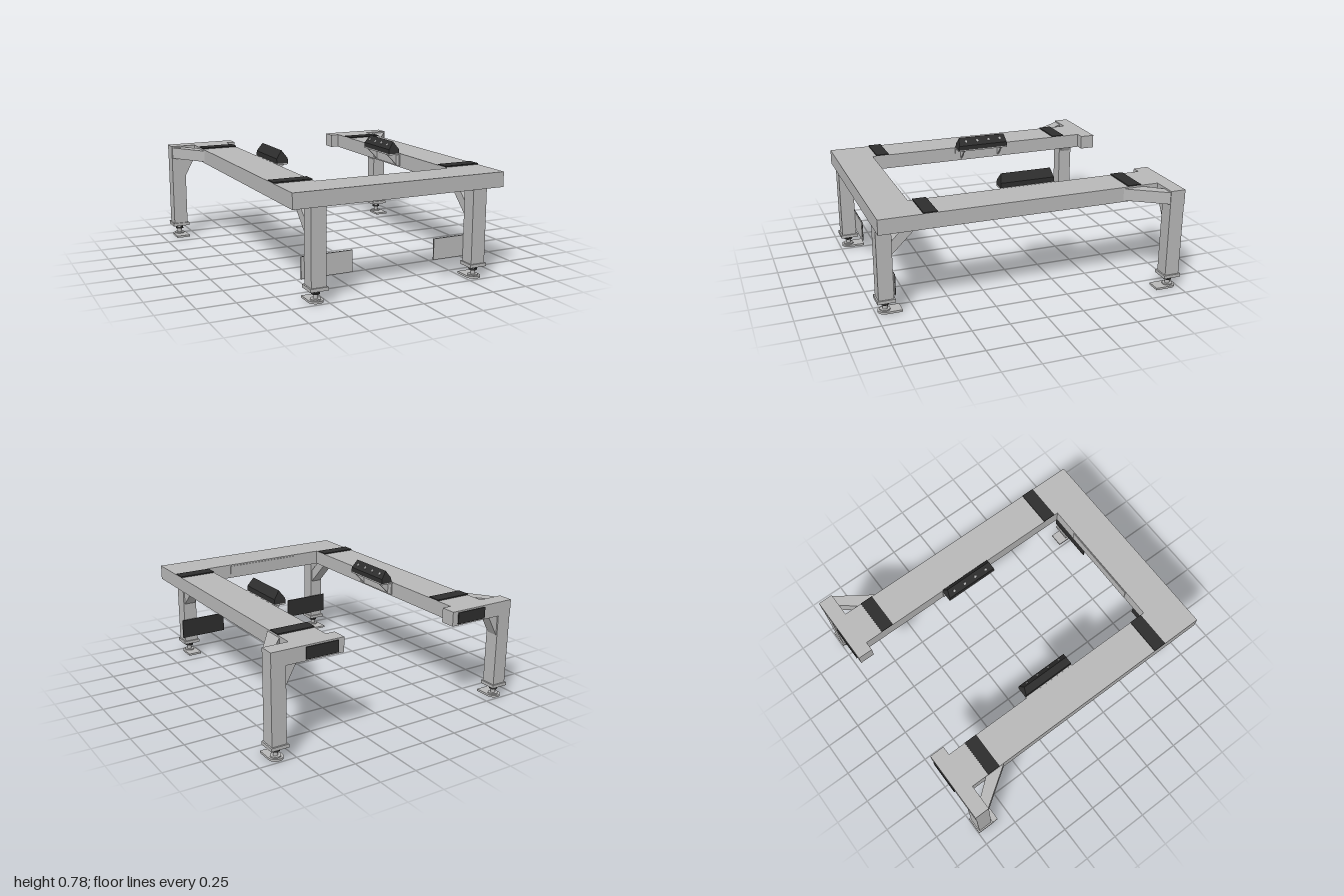
import * as THREE from 'three';

const steel = new THREE.MeshStandardMaterial({ color: 0xb8b8b8 });
steel.name = 'light grey steel';
const rubber = new THREE.MeshStandardMaterial({ color: 0x2e2e2e });
rubber.name = 'black rubber';

function add(parent, name, geometry, material = steel) {
  const mesh = new THREE.Mesh(geometry, material);
  mesh.name = name;
  parent.add(mesh);
  return mesh;
}

// Box given by its limits on each axis
function box(x0, x1, y0, y1, z0, z1) {
  return new THREE.BoxGeometry(Math.abs(x1 - x0), y1 - y0, z1 - z0)
    .translate((x0 + x1) / 2, (y0 + y1) / 2, (z0 + z1) / 2);
}

const toShape = (pts) => new THREE.Shape(pts.map(([a, b]) => new THREE.Vector2(a, b)));
const extrude = (shape, depth) =>
  new THREE.ExtrudeGeometry(shape, { depth, bevelEnabled: false, curveSegments: 12 });

// Outline in (x, z), extruded between two heights
const planPrism = (shape, y0, y1) => extrude(shape, y1 - y0).rotateX(Math.PI / 2).translate(0, y1, 0);
// Outline in (z, y), extruded between two x limits
const sidePrism = (pts, x0, x1) => extrude(toShape(pts), x1 - x0).rotateY(-Math.PI / 2).translate(x1, 0, 0);
// Outline in (x, y), extruded between two z limits
const frontPrism = (pts, z0, z1) => extrude(toShape(pts), z1 - z0).translate(0, 0, z0);

const cylinder = (r, y0, y1, sides = 20) =>
  new THREE.CylinderGeometry(r, r, y1 - y0, sides).translate(0, (y0 + y1) / 2, 0);

// Levelling foot; inward is the z direction of its anchor tongue
function levellingFoot(x, z, inward) {
  const foot = new THREE.Group();
  foot.name = 'levellingFoot';
  add(foot, 'legEndPlate', box(-0.06, 0.06, 0.08, 0.102, -0.06, 0.06));
  add(foot, 'footCollar', cylinder(0.025, 0.066, 0.08));
  add(foot, 'footScrew', cylinder(0.016, 0.02, 0.066));
  add(foot, 'lockNut', cylinder(0.028, 0.049, 0.061, 6), rubber);
  add(foot, 'footDisc', cylinder(0.034, 0.014, 0.022));
  const outline = new THREE.Shape();
  outline.moveTo(0.048, 0);
  outline.lineTo(0.048, -0.105);
  outline.lineTo(-0.048, -0.105);
  outline.lineTo(-0.048, 0);
  outline.absarc(0, 0, 0.048, Math.PI, 0, true);
  add(foot, 'footPlate', planPrism(outline, 0, 0.014));
  foot.position.set(x, 0, z);
  if (inward > 0) foot.rotation.y = Math.PI;
  return foot;
}

// Pointed guide rail whose ends lean in towards the ridge
function guideRail(s) {
  const geo = frontPrism([[-0.04, 0.696], [0.04, 0.696], [0.04, 0.728], [0, 0.782], [-0.04, 0.728]], -0.19, 0.19);
  const p = geo.attributes.position;
  for (let i = 0; i < p.count; i++) {
    if (p.getY(i) > 0.71) p.setZ(i, p.getZ(i) * (1 - (p.getY(i) - 0.71) * 1.2));
  }
  geo.computeVertexNormals();
  return geo.translate(s * 0.43, 0, -0.075);
}

export function createModel() {
  const model = new THREE.Group();
  model.name = 'supportFrame';

  // U-shaped top frame
  add(model, 'topFrame', planPrism(toShape([
    [-0.735, 0.995], [0.735, 0.995], [0.735, -0.89], [0.478, -0.89],
    [0.478, 0.738], [-0.478, 0.738], [-0.478, -0.89], [-0.735, -0.89],
  ]), 0.595, 0.695));
  add(model, 'innerFrontPlate', box(-0.285, 0.285, 0.605, 0.685, 0.733, 0.738));

  for (const s of [1, -1]) {
    const side = new THREE.Group();
    side.name = s > 0 ? 'leftSide' : 'rightSide';
    model.add(side);

    // Rear crossbar with its bumper
    add(side, 'rearCrossbar', box(s * 0.415, s * 0.91, 0.598, 0.695, -0.993, -0.89));
    add(side, 'rearBumper', box(s * 0.457, s * 0.68, 0.608, 0.685, -1, -0.993), rubber);

    // Legs and feet
    add(side, 'rearLeg', box(s * 0.81, s * 0.91, 0.1, 0.598, -0.99, -0.89));
    add(side, 'frontLeg', box(s * 0.515, s * 0.615, 0.1, 0.595, 0.885, 0.985));
    side.add(levellingFoot(s * 0.86, -0.94, 1));
    side.add(levellingFoot(s * 0.565, 0.935, -1));

    // Diagonal braces
    add(side, 'rearLegGusset', frontPrism(
      [[s * 0.81, 0.46], [s * 0.81, 0.598], [s * 0.735, 0.598]], -0.98, -0.9));
    add(side, 'rearCornerBrace', planPrism(toShape(
      [[s * 0.905, -0.89], [s * 0.82, -0.89], [s * 0.735, -0.785], [s * 0.735, -0.642]]), 0.605, 0.685));
    const x = s * 0.565;
    add(side, 'frontLegBrace', sidePrism(
      [[0.885, 0.4], [0.685, 0.595], [0.78, 0.595], [0.885, 0.49]], x - 0.04, x + 0.04));

    // Panel behind the front leg, light in front and black behind
    add(side, 'panelFront', box(s * 0.292, s * 0.635, 0.135, 0.275, 0.881, 0.885));
    add(side, 'panelBack', box(s * 0.292, s * 0.635, 0.135, 0.275, 0.876, 0.881), rubber);

    // Grip strips across the side beam
    for (const z of [-0.72, 0.665]) {
      add(side, 'gripStrip', box(s * 0.478, s * 0.735, 0.695, 0.703, z - 0.045, z + 0.045), rubber);
    }

    // Guide rail, bolts and bracket
    add(side, 'guideRail', guideRail(s), rubber);
    for (const z of [-0.21, -0.122, -0.034, 0.054]) {
      const bolt = add(side, 'railBolt', new THREE.CylinderGeometry(0.009, 0.009, 0.008, 12));
      bolt.position.set(s * 0.409, 0.755, z);
      bolt.rotation.z = s * 0.93;
    }
    add(side, 'bracketShelf', box(s * 0.39, s * 0.478, 0.687, 0.696, -0.265, 0.115));
    add(side, 'bracketBack', box(s * 0.47, s * 0.478, 0.605, 0.687, -0.265, 0.115));
    for (const z of [-0.225, 0.065]) {
      add(side, 'bracketGusset', frontPrism(
        [[s * 0.47, 0.61], [s * 0.47, 0.687], [s * 0.395, 0.687]], z, z + 0.01));
    }
  }
  return model;
}
